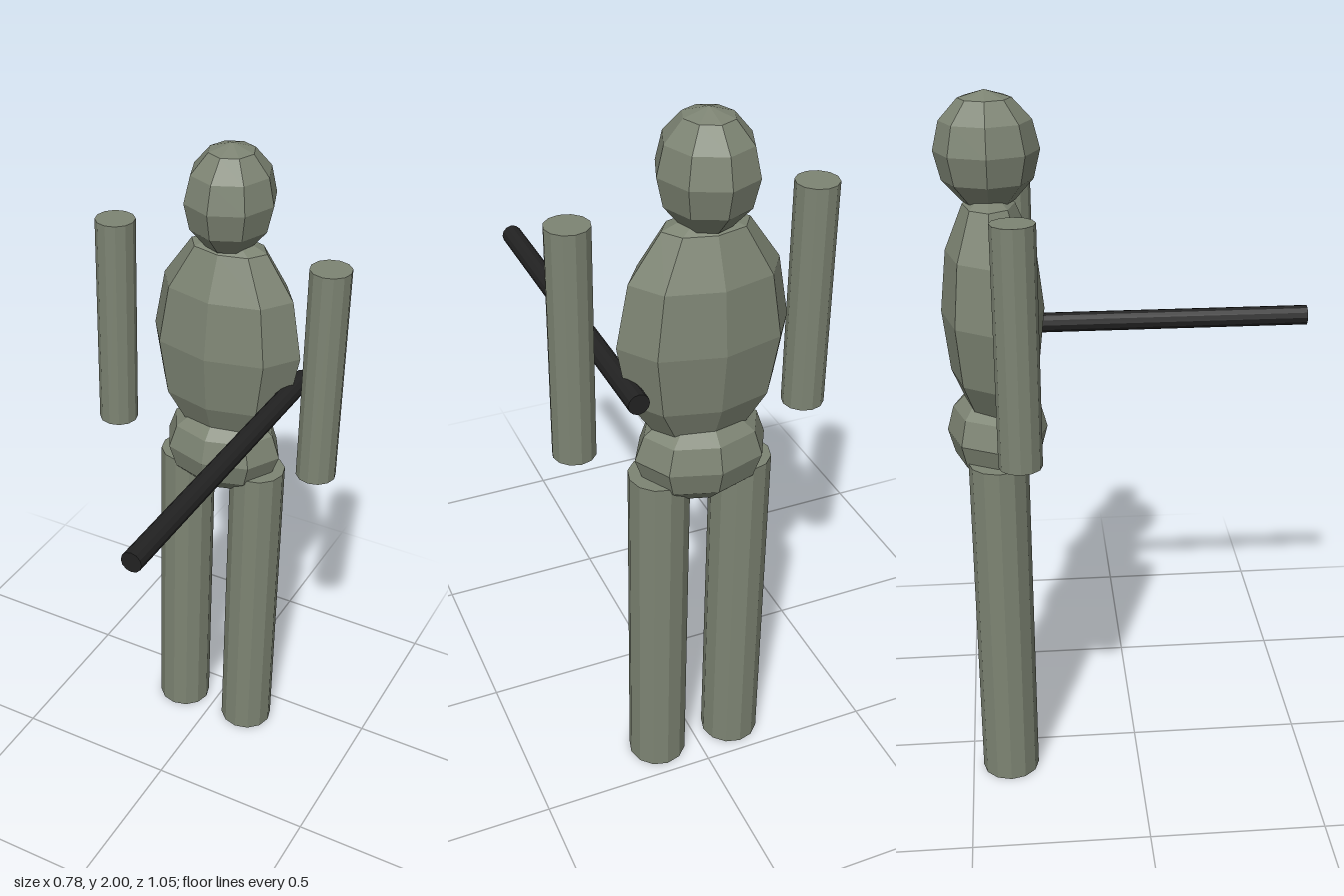
import * as THREE from 'three';

export function createModel() {
  const model = new THREE.Group();
  const bodyMat = new THREE.MeshStandardMaterial({ color: 0x7d8473, flatShading: true });
  const rodMat = new THREE.MeshStandardMaterial({ color: 0x222222, flatShading: true });
  const bodyZ = -0.387;

  const add = (name, geometry, material, x, y, z) => {
    const mesh = new THREE.Mesh(geometry, material);
    mesh.name = name;
    mesh.position.set(x, y, z);
    model.add(mesh);
    return mesh;
  };

  // Faceted ellipsoids: head, torso and pelvis
  const ellipsoid = (name, y, rx, ry, rz) =>
    add(name, new THREE.SphereGeometry(1, 8, 6).scale(rx, ry, rz), bodyMat, 0, y, bodyZ);
  ellipsoid('head', 1.845, 0.13, 0.155, 0.14);
  ellipsoid('torso', 1.41, 0.234, 0.34, 0.14);
  ellipsoid('pelvis', 1.06, 0.186, 0.14, 0.14);

  // Mirrored cylinder limbs
  for (const [side, s] of [['left', 1], ['right', -1]]) {
    add(side + 'Arm', new THREE.CylinderGeometry(0.058, 0.058, 0.648, 12), bodyMat, s * 0.33, 1.412, -0.328);
    add(side + 'Leg', new THREE.CylinderGeometry(0.083, 0.083, 1.005, 12), bodyMat, s * 0.118, 0.5025, bodyZ);
  }

  // Long dark rod pointing forward at the left hip
  const rod = add('rod', new THREE.CylinderGeometry(0.029, 0.029, 1.003, 12), rodMat, 0.21, 1.295, 0.025);
  rod.rotation.x = Math.PI / 2;

  return model;
}
